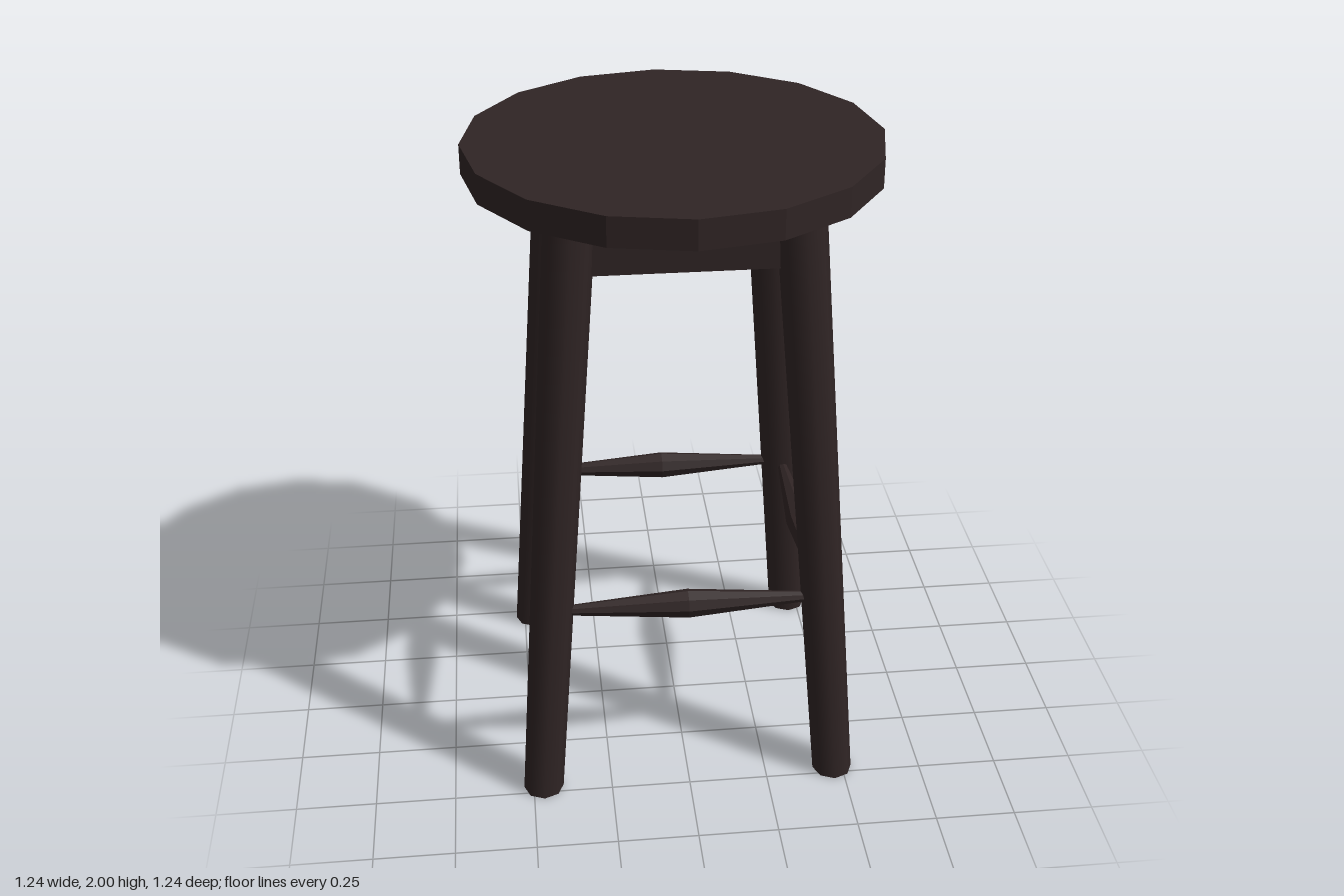
import * as THREE from 'three';

const SEAT_BOTTOM = 1.91;
const LEG_FOOT = 0.468, LEG_TOP = 0.323;
const STRETCHER_Y = 0.645;

// separate every face so that edges stay sharp
function faceted(geometry) {
  const g = geometry.toNonIndexed();
  g.computeVertexNormals();
  return g;
}

// tapered round leg, sheared so that both ends stay level
function legGeometry(sx, sz) {
  const h = SEAT_BOTTOM;
  const g = new THREE.CylinderGeometry(0.074, 0.063, h, 8);
  g.translate(0, h / 2, 0);
  const k = (LEG_TOP - LEG_FOOT) / h;
  g.applyMatrix4(new THREE.Matrix4().set(
    1, sx * k, 0, sx * LEG_FOOT,
    0, 1, 0, 0,
    0, sz * k, 1, sz * LEG_FOOT,
    0, 0, 0, 1));
  return g;
}

// spindle that is thickest in the middle, lying along x
function stretcherGeometry(half) {
  const profile = [[0, -half], [0.012, -half], [0.045, 0], [0.012, half], [0, half]]
    .map(([r, y]) => new THREE.Vector2(r, y));
  const g = new THREE.LatheGeometry(profile, 8);
  g.rotateZ(Math.PI / 2);
  return faceted(g);
}

export function createModel() {
  const wood = new THREE.MeshStandardMaterial({ color: 0x2f2424 });
  wood.name = 'darkWood';
  const model = new THREE.Group();
  model.name = 'stool';

  const add = (name, geometry, parent = model) => {
    const mesh = new THREE.Mesh(geometry, wood);
    mesh.name = name;
    parent.add(mesh);
    return mesh;
  };

  // sixteen-sided seat
  const seat = add('seat', faceted(new THREE.CylinderGeometry(0.622, 0.622, 0.09, 16)));
  seat.position.y = SEAT_BOTTOM + 0.045;

  // four splayed legs
  for (const [z, front] of [[1, 'front'], [-1, 'back']])
    for (const [x, side] of [[1, 'Left'], [-1, 'Right']])
      add(`${front}${side}Leg`, legGeometry(x, z));

  // apron boards and stretchers, one of each per side
  const legAtStretcher = LEG_FOOT + (LEG_TOP - LEG_FOOT) * STRETCHER_Y / SEAT_BOTTOM;
  const apronHeight = 0.185;
  ['front', 'left', 'back', 'right'].forEach((name, i) => {
    const side = new THREE.Group();
    side.name = `${name}Side`;
    side.rotation.y = i * Math.PI / 2;
    model.add(side);

    const apron = add(`${name}Apron`, new THREE.BoxGeometry(0.62, apronHeight, 0.07), side);
    apron.position.set(0, SEAT_BOTTOM - apronHeight / 2, 0.31);

    const stretcher = add(`${name}Stretcher`, stretcherGeometry(legAtStretcher), side);
    stretcher.position.set(0, STRETCHER_Y, legAtStretcher);
  });

  return model;
}
